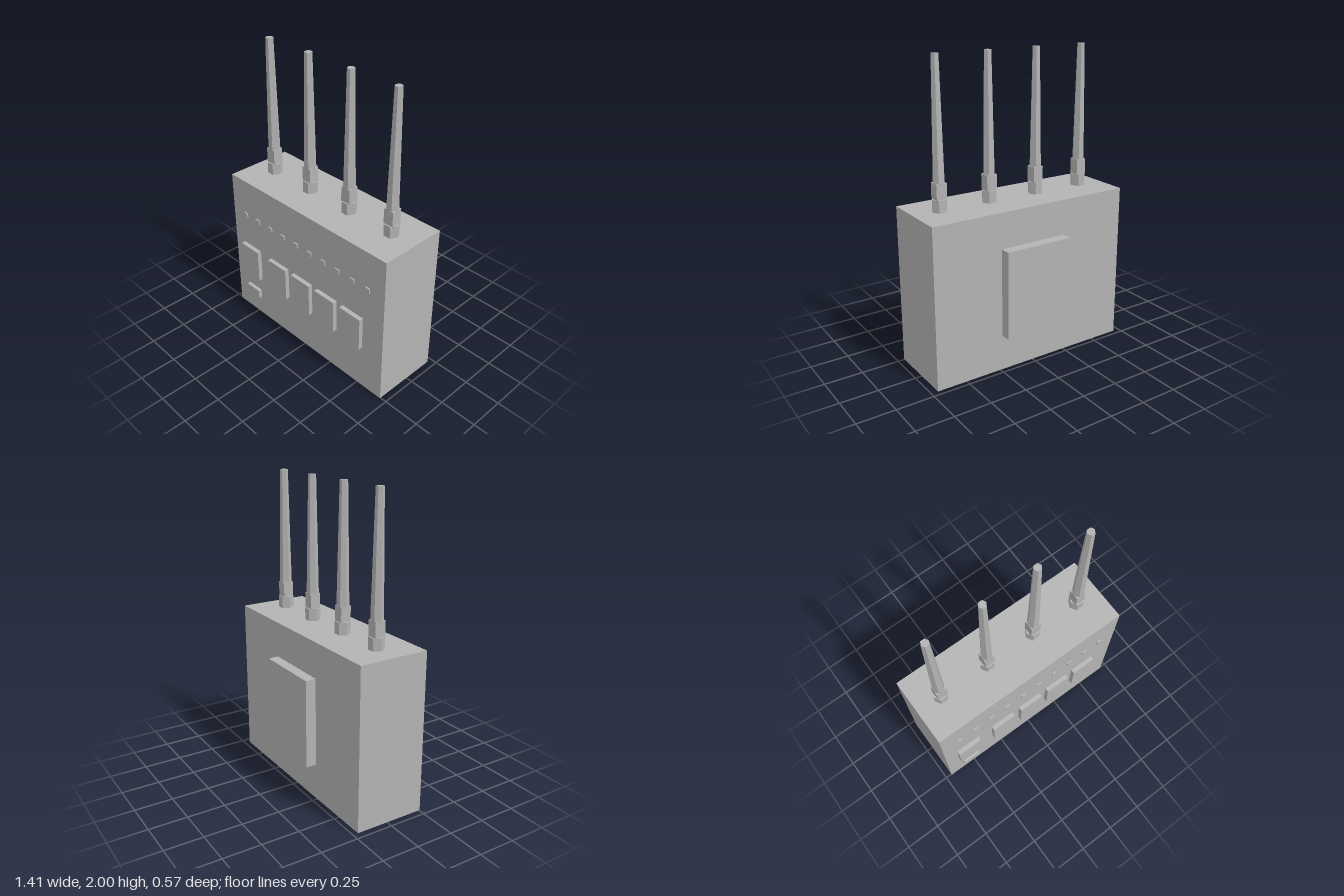
import * as THREE from 'three';

export function createModel() {
  const model = new THREE.Group();
  model.name = 'wirelessRouter';
  const grey = new THREE.MeshStandardMaterial({ color: 0xb3b3b3, flatShading: true });
  grey.name = 'plain grey';

  // box given by its centre x, and its y and z ranges
  const box = (name, x, width, y0, y1, z0, z1, parent = model) => {
    const mesh = new THREE.Mesh(new THREE.BoxGeometry(width, y1 - y0, z1 - z0), grey);
    mesh.name = name;
    mesh.position.set(x, (y0 + y1) / 2, (z0 + z1) / 2);
    parent.add(mesh);
  };

  // six-sided column with corners on the x axis
  const hex = (name, rTop, rBottom, y0, y1, parent) => {
    const geometry = new THREE.CylinderGeometry(rTop, rBottom, y1 - y0, 6, 1, false, Math.PI / 6);
    const mesh = new THREE.Mesh(geometry, grey);
    mesh.name = name;
    mesh.position.y = (y0 + y1) / 2;
    parent.add(mesh);
  };

  const front = 0.255, back = -0.215;
  box('housing', 0, 1.41, 0, 1.06, back, front);
  box('backPlate', 0, 0.47, 0.24, 0.825, -0.285, back);

  // sockets and power button on the front
  [-0.525, -0.238, -0.008, 0.221, 0.449].forEach((x, i) =>
    box(`socket${i + 1}`, x, 0.175, 0.32, 0.556, front, 0.285));
  box('powerButton', -0.523, 0.128, 0.146, 0.21, front, 0.28);

  // row of indicator lights
  for (let i = 0; i < 10; i++) {
    box(`indicator${i + 1}`, -0.573 + i * 0.127, 0.035, 0.78, 0.813, front, 0.264);
  }

  // antennas: collar nut, square hinge, tapered rod
  for (let i = 0; i < 4; i++) {
    const antenna = new THREE.Group();
    antenna.name = `antenna${i + 1}`;
    antenna.position.set(-0.529 + i * 0.3525, 0, 0.02);
    hex('collar', 0.05, 0.05, 1.06, 1.14, antenna);
    box('hinge', 0, 0.07, 1.14, 1.24, -0.035, 0.035, antenna);
    hex('rod', 0.025, 0.04, 1.235, 2, antenna);
    model.add(antenna);
  }
  return model;
}
